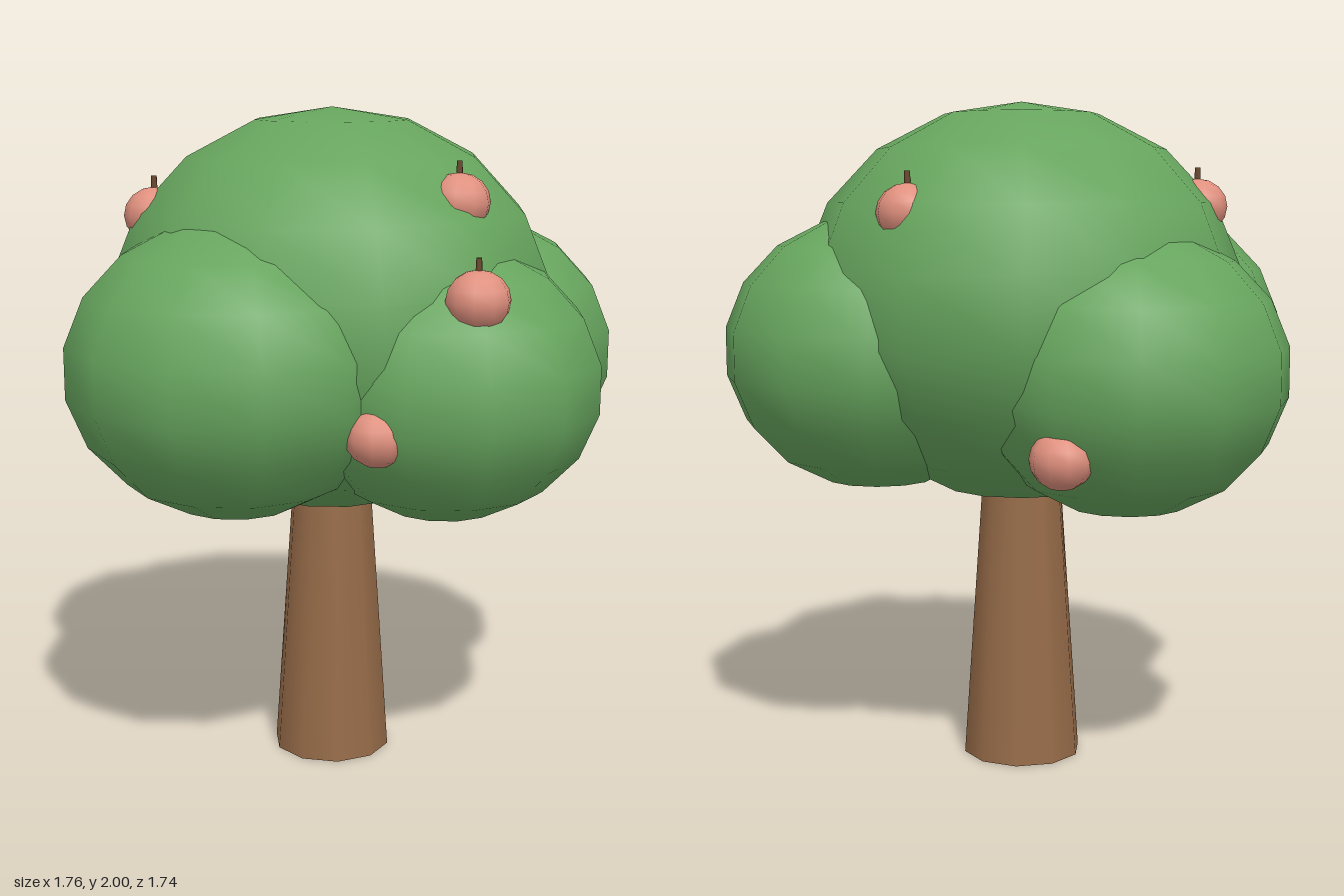
import * as THREE from 'three';

const material = (name, color) => {
  const m = new THREE.MeshStandardMaterial({ color });
  m.name = name;
  return m;
};

export function createModel() {
  const tree = new THREE.Group();
  tree.name = 'fruitTree';
  const bark = material('bark', 0x966b48);
  const leaf = material('leaf', 0x67a55e);
  const skin = material('fruitSkin', 0xe0907e);
  const twig = material('twig', 0x6b4a2f);

  const add = (parent, name, geometry, mat, x, y, z) => {
    const mesh = new THREE.Mesh(geometry, mat);
    mesh.name = name;
    mesh.position.set(x, y, z);
    parent.add(mesh);
    return mesh;
  };

  // Tapered trunk, its top hidden in the crown
  add(tree, 'trunk', new THREE.CylinderGeometry(0.113, 0.182, 1, 10), bark, 0.018, 0.5, 0);

  // Crown: flattened spheres [name, x, y, z, radius, height radius]
  const crown = [
    ['mainFoliage', 0.018, 1.402, 0, 0.675, 0.598],
    ['rightFoliage', 0.42, 1.26, 0.16, 0.467, 0.412],
    ['leftFoliage', -0.4, 1.28, 0.05, 0.49, 0.43],
    ['frontFoliage', 0.078, 1.232, 0.42, 0.457, 0.402],
    ['backFoliage', -0.1, 1.218, -0.4, 0.475, 0.418],
  ];
  for (const [name, x, y, z, r, h] of crown) {
    const geometry = new THREE.SphereGeometry(r, 12, 9).scale(1, h / r, 1);
    add(tree, name, geometry, leaf, x, y, z);
  }

  // Fruits half sunk in the foliage, each with a short stem
  const fruitGeometry = new THREE.SphereGeometry(0.09, 10, 8).scale(1, 0.92, 1);
  const stemGeometry = new THREE.CylinderGeometry(0.008, 0.01, 0.05, 6);
  const spots = [
    [0.055, 1.75, 0.485],
    [0.503, 1.673, -0.205],
    [-0.08, 1.512, 0.69],
    [0.24, 1.015, -0.59],
    [-0.3, 1.145, 0.535],
    [-0.425, 1.69, -0.285],
  ];
  for (const [x, y, z] of spots) {
    const fruit = new THREE.Group();
    fruit.name = 'fruit';
    fruit.position.set(x, y, z);
    add(fruit, 'fruitBody', fruitGeometry, skin, 0, 0, 0);
    add(fruit, 'fruitStem', stemGeometry, twig, 0, 0.09, 0);
    tree.add(fruit);
  }
  return tree;
}
